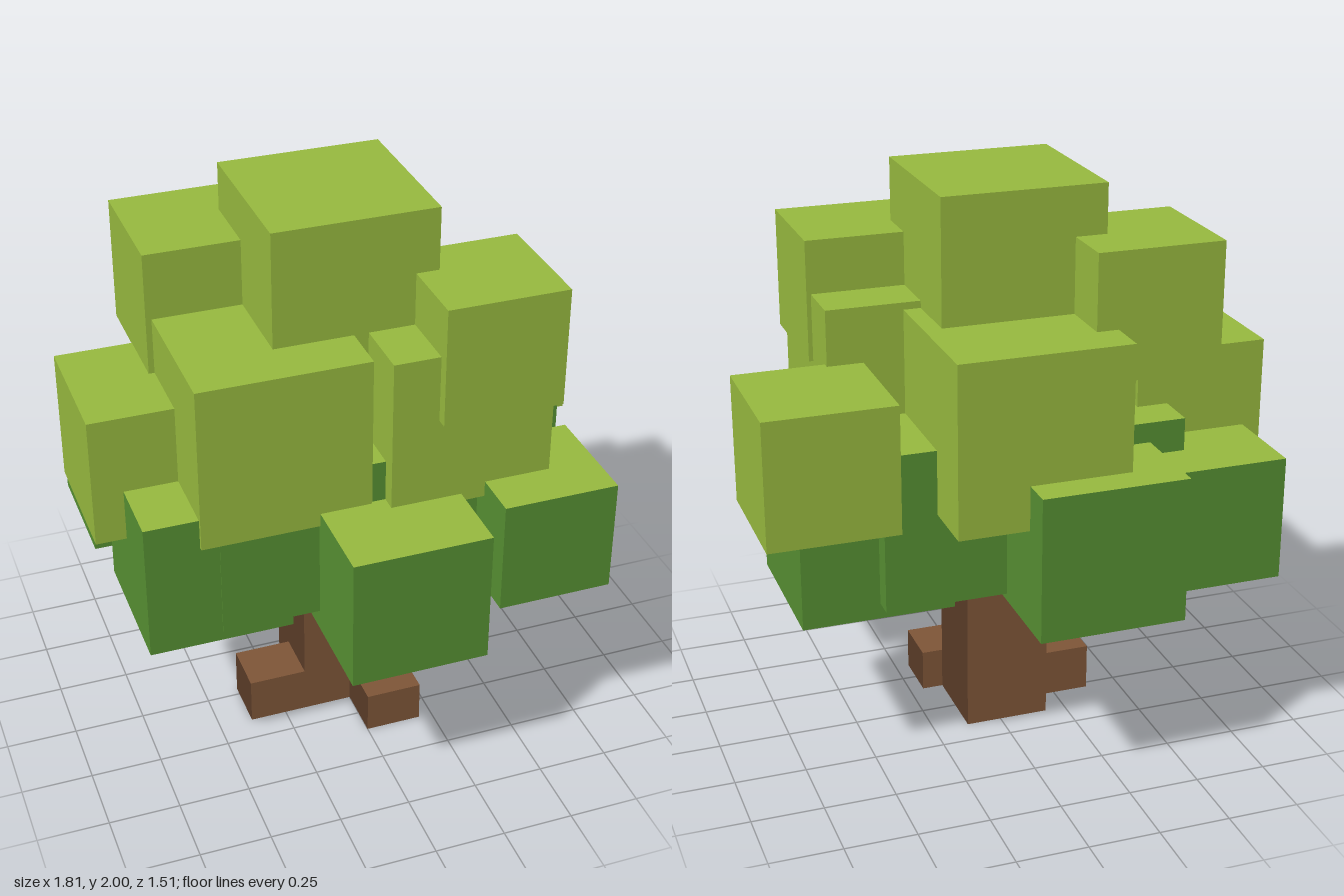
import * as THREE from 'three';

const mat = (color, side = THREE.FrontSide) =>
  new THREE.MeshStandardMaterial({ color, side, flatShading: true });

// Face order: +x, -x, top, bottom, +z, -z
const lime = mat(0x98ba3f), green = mat(0x579033);
const bark = mat(0x7f5638, THREE.DoubleSide), darkBark = mat(0x5b3c28, THREE.DoubleSide);
const upperFaces = [lime, lime, lime, green, lime, lime];
const lowerFaces = [green, green, lime, green, green, green];
const woodFaces = [darkBark, darkBark, bark, darkBark, bark, bark];

// Block spanning two opposite corners
function block(name, [x0, y0, z0], [x1, y1, z1], faces, openBottom = false) {
  const geo = new THREE.BoxGeometry(x1 - x0, y1 - y0, z1 - z0);
  if (openBottom) {
    const idx = Array.from(geo.index.array);
    idx.splice(18, 6);
    geo.setIndex(idx);
    geo.clearGroups();
    [0, 1, 2, 4, 5].forEach((m, i) => geo.addGroup(i * 6, 6, m));
  }
  const mesh = new THREE.Mesh(geo, faces);
  mesh.name = name;
  mesh.position.set((x0 + x1) / 2, (y0 + y1) / 2, (z0 + z1) / 2);
  return mesh;
}

// Cube from its lowest corner and edge length
const cube = (name, x, y, z, s, faces) =>
  block(name, [x, y, z], [x + s, y + s, z + s], faces);

export function createModel() {
  const tree = new THREE.Group();
  tree.name = 'tree';

  // Trunk, roots and branch stubs
  const wood = new THREE.Group();
  wood.name = 'wood';
  wood.add(
    block('trunk', [-0.175, 0, -0.145], [0.125, 0.75, 0.155], woodFaces, true),
    block('frontRoot', [0, 0, 0.155], [0.2, 0.15, 0.345], woodFaces, true),
    block('rightRoot', [-0.38, 0, -0.03], [-0.175, 0.17, 0.155], woodFaces, true),
    block('leftBranch', [0.125, 0.48, -0.06], [0.365, 0.68, 0.1], woodFaces),
    block('rightBranch', [-0.4, 0.53, 0], [-0.15, 0.72, 0.165], woodFaces)
  );

  // Dark lower foliage: a wide core ringed by cubes
  const lower = new THREE.Group();
  lower.name = 'lowerFoliage';
  lower.add(block('foliageCore', [-0.55, 0.655, -0.43], [0.5, 1.205, 0.43], lowerFaces));
  [
    ['lowerLeft', 0.24, 0.6, -0.36, 0.525],
    ['lowerFront', -0.21, 0.58, 0.275, 0.478],
    ['lowerFrontLeft', 0.352, 0.682, 0.25, 0.405],
    ['lowerFrontRight', -0.8, 0.62, -0.07, 0.496],
    ['lowerBackRight', -0.84, 0.655, -0.61, 0.435],
    ['lowerBack', -0.425, 0.63, -0.755, 0.505],
  ].forEach(([n, x, y, z, s]) => lower.add(cube(n, x, y, z, s, lowerFaces)));

  // Light upper foliage
  const upper = new THREE.Group();
  upper.name = 'upperFoliage';
  [
    ['crown', -0.305, 1.435, -0.305, 0.565],
    ['upperBackRight', -0.635, 1.39, -0.5, 0.44],
    ['upperBack', -0.27, 0.98, -0.645, 0.59],
    ['upperFrontRight', -0.615, 1.01, -0.145, 0.585],
    ['upperFrontLeft', 0.02, 1.03, -0.08, 0.565],
    ['upperFrontBump', 0.18, 1.36, 0.105, 0.42],
    ['upperLeft', 0.46, 0.96, -0.497, 0.442],
    ['upperRight', -0.905, 0.93, -0.282, 0.465],
  ].forEach(([n, x, y, z, s]) => upper.add(cube(n, x, y, z, s, upperFaces)));

  tree.add(wood, lower, upper);
  return tree;
}
